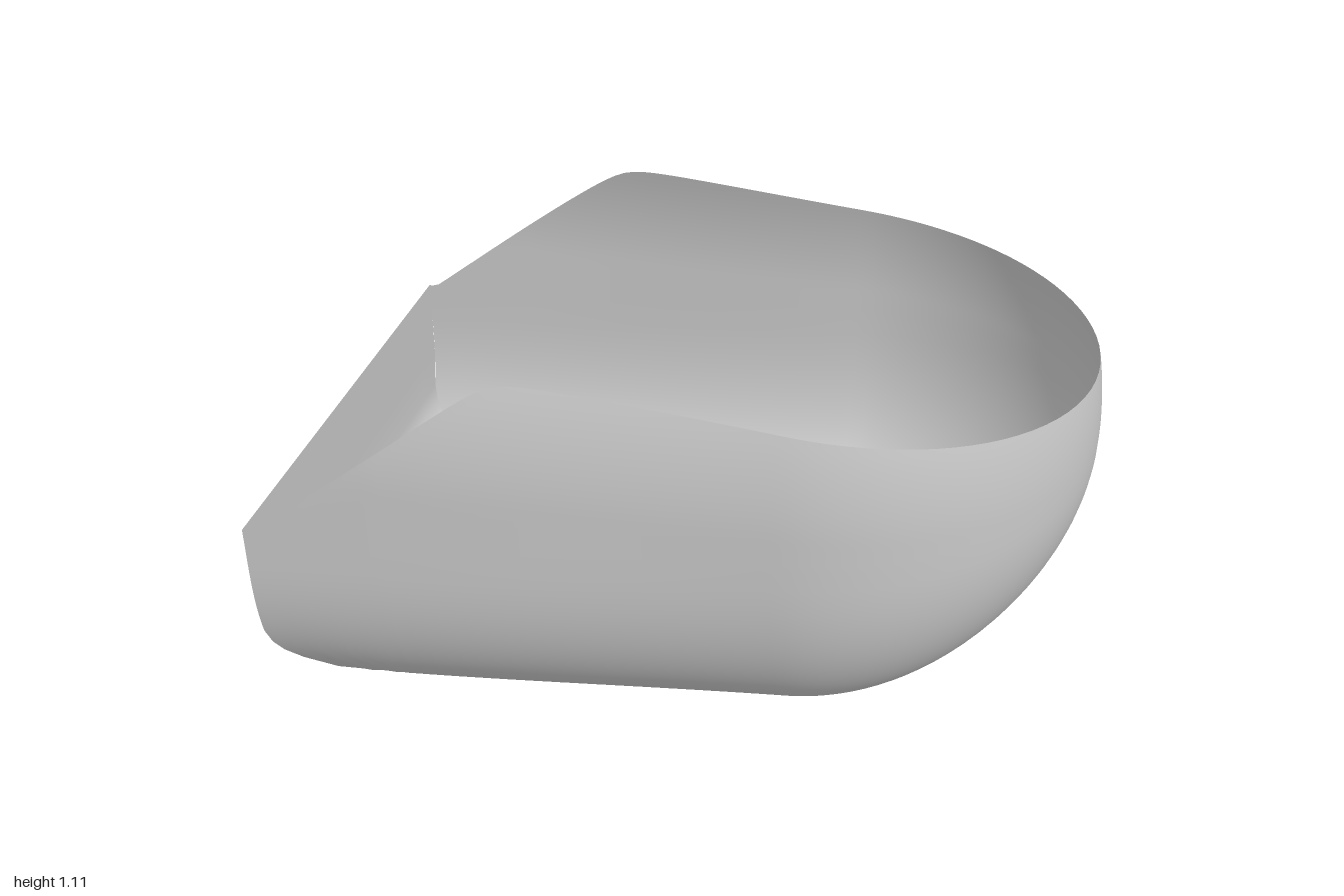
import * as THREE from 'three';
import { mergeVertices } from 'three/addons/utils/BufferGeometryUtils.js';

const NOSE_X = 0.3; // where the straight trough turns into the round nose
const NOSE_LENGTH = 0.7;
const SLOPE = 0.087;
const POWER = 2.6;
const { smoothstep, lerp } = THREE.MathUtils;

// Keel line, half width, belly height and rim line along the length
const keel = x => SLOPE * (x + 0.645);
const width = x => 0.658 - 0.03 * smoothstep(x, -0.7, 0.4);
const belly = x => 0.61 + 0.03 * (x + 0.66);
const lean = y => 0.5 * Math.max(0, y - 0.8) ** 2; // sides curve inward near the rim
function rim(x) {
  const a = 1.0 + 0.094 * (0.985 - x), b = 1.083 + 0.774 * (x + 0.42);
  return Math.max(0.65, 0.5 * (a + b - Math.hypot(a - b, 0.05)));
}

// Profile of the tail, from the keel up the slanted cut to the end wall
const tail = [[-0.63, keel(-0.63)], [-0.645, 0.0008], [-0.66, 0.003], [-0.68, 0.01], [-0.72, 0.036], [-0.78, 0.086],
  [-0.86, 0.15], [-0.93, 0.205], [-0.97, 0.24], [-0.99, 0.275], [-1, 0.32], [-1, 0.43], [-1, 0.54], [-1, 0.65]];

function halfWidth(x, y) {
  const q = Math.max(0, y - keel(x)), h = belly(x);
  if (q > h) return width(x) - lean(y);
  return width(x) * Math.pow(Math.max(0, 1 - Math.pow(1 - q / h, POWER)), 1 / POWER);
}

// Surface from a rule giving the point at column i, row j
function surface(name, cols, rows, point, material) {
  const pos = [], index = [];
  for (let i = 0; i <= cols; i++) for (let j = 0; j <= rows; j++) pos.push(...point(i, j));
  for (let i = 0; i < cols; i++) for (let j = 0; j < rows; j++) {
    const a = i * (rows + 1) + j, b = a + rows + 1;
    index.push(a, b, b + 1, a, b + 1, a + 1);
  }
  let g = new THREE.BufferGeometry();
  g.setAttribute('position', new THREE.Float32BufferAttribute(pos, 3));
  g.setIndex(index);
  g = mergeVertices(g, 1e-4);
  g.computeVertexNormals();
  const mesh = new THREE.Mesh(g, material);
  mesh.name = name;
  return mesh;
}

export function createModel() {
  const grey = new THREE.MeshStandardMaterial({ color: 0xc8c8c8, side: THREE.DoubleSide });
  grey.name = 'lightGrey';
  const group = new THREE.Group();
  group.name = 'openShell';

  // Columns: along one side, round the nose, back along the other side
  const side = tail.slice(0, 11).reverse().map(([x, y]) => ({ x, y0: y, a: Math.PI / 2 }));
  const start = tail[0][0];
  for (let k = 1; k < 32; k++) {
    const x = lerp(start, NOSE_X, k / 32);
    side.push({ x, y0: keel(x), a: Math.PI / 2 });
  }
  const nose = [];
  for (let k = 0; k <= 48; k++) nose.push({ x: NOSE_X, y0: keel(NOSE_X), a: Math.PI / 2 - Math.PI * k / 48 });
  const mirrored = side.map(c => ({ ...c, a: -c.a })).reverse();
  const columns = [...side, ...nose, ...mirrored];

  const LOW = 36, HIGH = 18; // rows below and above the belly
  const hullPoint = (i, j) => {
    const { x, y0, a } = columns[i];
    const c = Math.max(0, Math.cos(a)), f = c * c;
    const n = lerp(POWER, 2, f);
    const h = lerp(belly(x), 0.71, f);
    const w = lerp(width(x), NOSE_LENGTH, f);
    let r, q;
    if (j <= LOW) {
      const q0 = Math.max(0, y0 - keel(x));
      const t0 = q0 < 1e-6 ? 0 : Math.acos(Math.pow(1 - q0 / h, n / 2));
      const t = t0 + (Math.PI / 2 - t0) * j / LOW;
      r = w * Math.pow(Math.sin(t), 2 / n);
      q = h * (1 - Math.pow(Math.max(0, Math.cos(t)), 2 / n));
    } else {
      const top = rim(x + (w - 0.02) * c) - keel(x);
      q = h + (top - h) * (j - LOW) / HIGH;
      r = w - lean(keel(x) + q);
    }
    const dx = r * c;
    return [x + dx, keel(x) + q + SLOPE * dx * Math.max(0, 1 - q / h), r * Math.sin(a)];
  };
  group.add(surface('hull', columns.length - 1, LOW + HIGH, hullPoint, grey));

  // Slanted tail floor and upright end wall
  const ACROSS = 12;
  group.add(surface('tailWall', ACROSS, tail.length - 1, (i, j) => {
    const [x, y] = tail[j];
    return [x, y, halfWidth(x, y) * (2 * i / ACROSS - 1)];
  }, grey));

  return group;
}
